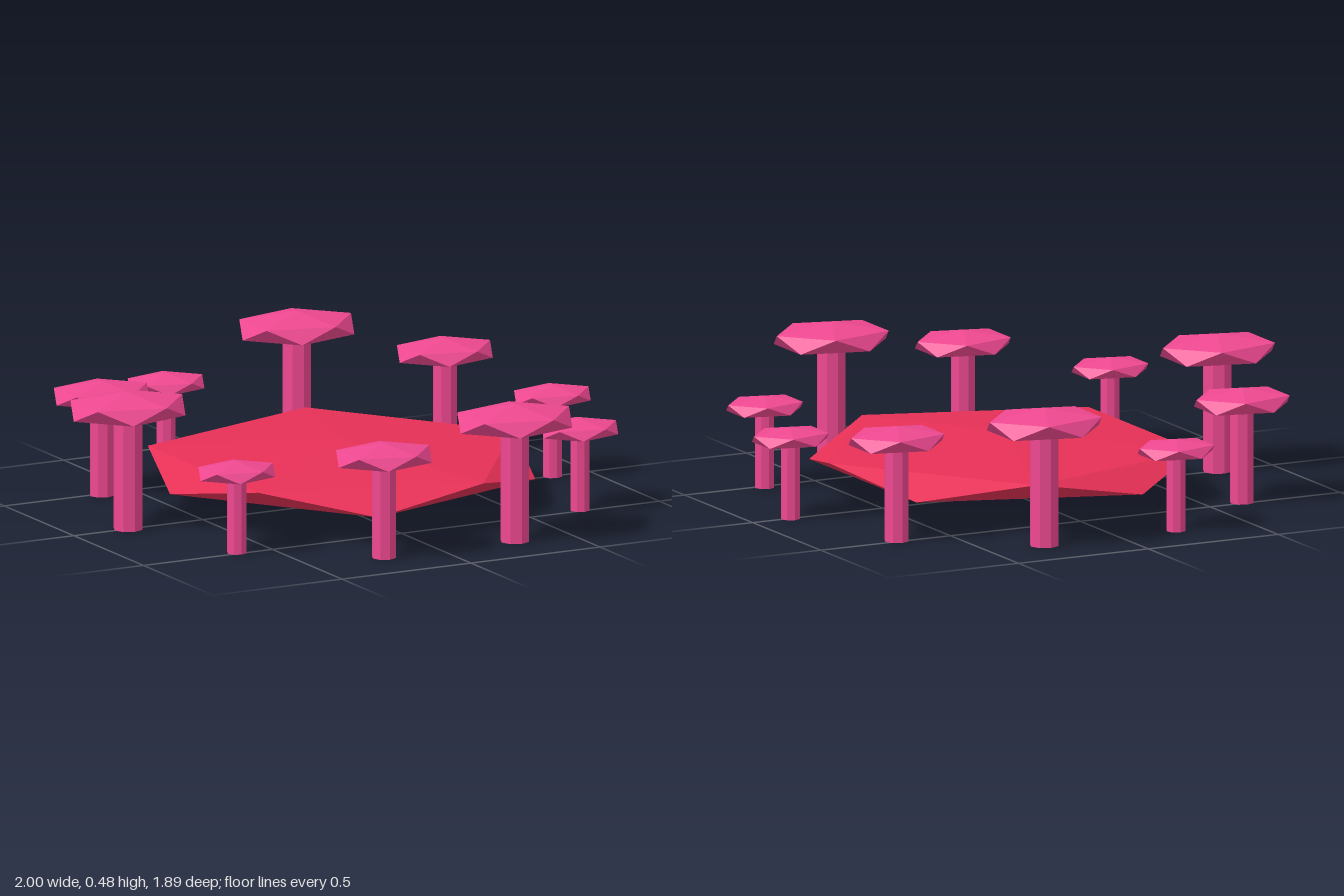
import * as THREE from 'three';

const pink = new THREE.MeshStandardMaterial({ color: 0xee4890, flatShading: true });
const red = new THREE.MeshStandardMaterial({ color: 0xe63056, flatShading: true });

// Squashed icosahedron standing on a corner, upper ring pointing to +x.
// rx, rz: ring radii; h: half height
function gem(rx, h, rz) {
  const ring = 2 / Math.sqrt(5);
  const geometry = new THREE.IcosahedronGeometry(1, 0);
  geometry.rotateZ(-Math.atan(2 / (1 + Math.sqrt(5))));
  geometry.scale(rx / ring, h, rz / ring);
  return geometry;
}

// Stem with a faceted cap; every size follows from the cap radius r
function makeMushroom(x, z, r) {
  const group = new THREE.Group();
  group.name = 'mushroom';
  const capY = 2.02 * r;
  const stem = new THREE.Mesh(new THREE.CylinderGeometry(0.243 * r, 0.243 * r, capY, 8), pink);
  stem.name = 'stem';
  stem.position.y = capY / 2;
  const cap = new THREE.Mesh(gem(r, 0.267 * r, 0.8 * r), pink);
  cap.name = 'cap';
  cap.position.y = capY;
  group.add(stem, cap);
  group.position.set(x, 0, z);
  return group;
}

export function createModel() {
  const model = new THREE.Group();
  model.name = 'mushroomRing';

  // Low central slab
  const slab = new THREE.Mesh(gem(0.665, 0.082, 0.672), red);
  slab.name = 'centralSlab';
  slab.position.set(0.038, 0.14, 0);
  model.add(slab);

  // Ring of mushrooms in three sizes: x, z, cap radius
  const large = 0.21, medium = 0.175, small = 0.14;
  const ring = [
    [-0.79, 0, large], [0.287, -0.783, large], [0.287, 0.783, large],
    [-0.22, 0.783, medium], [-0.63, -0.485, medium], [0.7, -0.485, medium],
    [-0.22, -0.783, small], [-0.63, 0.485, small], [0.7, 0.485, small], [0.855, 0, small],
  ];
  for (const [x, z, r] of ring) model.add(makeMushroom(x, z, r));

  return model;
}
